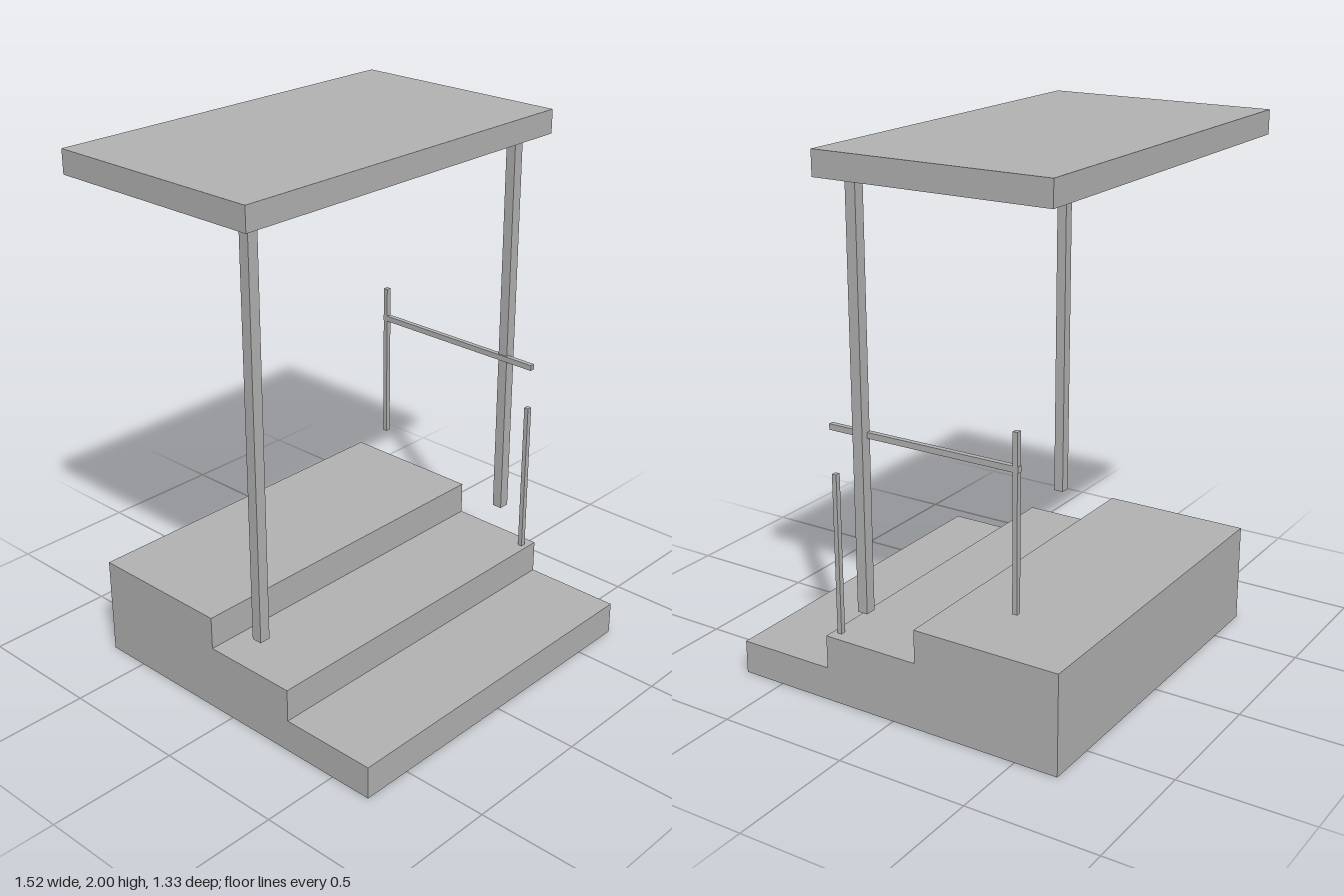
import * as THREE from 'three';

export function createModel() {
  const model = new THREE.Group();
  const grey = new THREE.MeshStandardMaterial({ name: 'concrete grey', color: 0xb2b2b2 });

  // Box given by its min and max on each axis
  function box(name, [x0, x1], [y0, y1], [z0, z1]) {
    const mesh = new THREE.Mesh(new THREE.BoxGeometry(x1 - x0, y1 - y0, z1 - z0), grey);
    mesh.position.set((x0 + x1) / 2, (y0 + y1) / 2, (z0 + z1) / 2);
    mesh.name = name;
    model.add(mesh);
  }

  // Steps and landing: one side profile (z, y) extruded across the width
  const width = 1.394;
  const rise = 0.127;
  const profile = new THREE.Shape([
    [-0.667, 0], [0.667, 0], [0.667, rise], [0.286, rise], [0.286, 2 * rise],
    [-0.095, 2 * rise], [-0.095, 3 * rise], [-0.667, 3 * rise],
  ].map(([z, y]) => new THREE.Vector2(-z, y)));
  const stepsGeometry = new THREE.ExtrudeGeometry(profile, { depth: width, bevelEnabled: false });
  stepsGeometry.translate(0, 0, -width / 2).rotateY(Math.PI / 2);
  const steps = new THREE.Mesh(stepsGeometry, grey);
  steps.name = 'steps';
  model.add(steps);

  // Canopy slab and the small lamp beneath it
  box('canopy', [-0.76, 0.76], [1.91, 2], [-0.667, 0.222]);
  box('lamp', [-0.0615, 0.0615], [1.87, 1.91], [-0.255, -0.185]);

  // Canopy posts
  for (const [side, s] of [['left', 1], ['right', -1]]) {
    box(side + 'Post', [s * 0.665 - 0.021, s * 0.665 + 0.021], [0.381, 1.91], [0.109, 0.149]);
  }

  // Handrail with its two uprights, on the left side only
  const railX = [0.638, 0.658];
  box('handrail', railX, [1.021, 1.043], [-0.487, 0.27]);
  box('frontRailPost', railX, [2 * rise, 0.86], [0.248, 0.266]);
  box('backRailPost', railX, [0.524, 1.159], [-0.484, -0.466]);

  return model;
}
